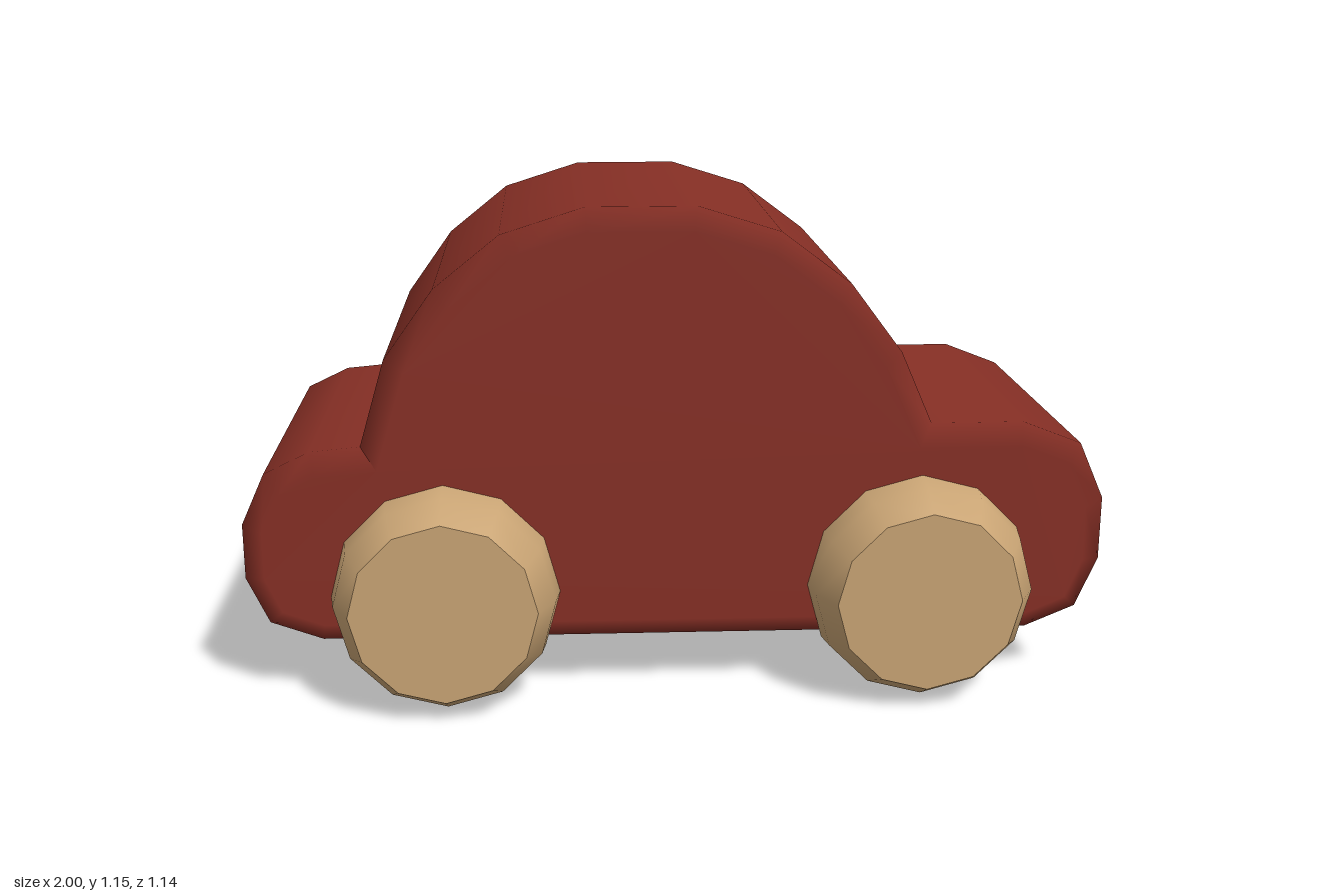
import * as THREE from 'three';

const paint = new THREE.MeshStandardMaterial({ color: 0x862f25 });
paint.name = 'red paint';
const wood = new THREE.MeshStandardMaterial({ color: 0xc9a474 });
wood.name = 'pale wood';

// Side outline of the car, counterclockwise
const outline = [
  [-0.83, 0.145], [0.83, 0.13], [0.95, 0.18], [1, 0.3], [1, 0.45], [0.94, 0.585],
  [0.8, 0.64], [0.585, 0.64], [0.51, 0.81], [0.39, 0.97], [0.23, 1.09], [0.04, 1.15],
  [-0.21, 1.15], [-0.4, 1.09], [-0.55, 0.97], [-0.665, 0.81], [-0.725, 0.61],
  [-0.84, 0.6], [-0.945, 0.55], [-1, 0.43], [-1, 0.3], [-0.95, 0.19],
].map(([x, y]) => new THREE.Vector2(x, y));
const SHARP = 16; // crease where the cabin meets the low end
const HALF = 0.435, BEVEL = 0.04, INSET = 0.05;

function mesh(name, geometry, material) {
  const m = new THREE.Mesh(geometry, material);
  m.name = name;
  return m;
}

function createBody() {
  const body = new THREE.Group();
  body.name = 'body';
  const n = outline.length;
  const edgeNormals = outline.map((p, i) => {
    const q = outline[(i + 1) % n];
    return new THREE.Vector2(q.y - p.y, p.x - q.x).normalize();
  });
  const normals = outline.map((p, i) =>
    edgeNormals[i].clone().add(edgeNormals[(i + n - 1) % n]).normalize());
  const inner = outline.map((p, i) =>
    p.clone().addScaledVector(normals[i], -INSET / normals[i].dot(edgeNormals[i])));

  // Wrap-around skin with a softened edge on each side
  const position = [], normal = [], index = [];
  for (let i = 0; i < n; i++) {
    const base = position.length / 3;
    for (const k of [i, (i + 1) % n]) {
      const m = k === SHARP ? edgeNormals[i] : normals[k];
      const o = outline[k], c = inner[k];
      position.push(c.x, c.y, -HALF, o.x, o.y, BEVEL - HALF, o.x, o.y, HALF - BEVEL, c.x, c.y, HALF);
      normal.push(0, 0, -1, m.x, m.y, 0, m.x, m.y, 0, 0, 0, 1);
    }
    for (let r = 0; r < 3; r++) {
      const a = base + r, b = a + 4;
      index.push(a, b, b + 1, a, b + 1, a + 1);
    }
  }
  const skin = new THREE.BufferGeometry();
  skin.setAttribute('position', new THREE.Float32BufferAttribute(position, 3));
  skin.setAttribute('normal', new THREE.Float32BufferAttribute(normal, 3));
  skin.setIndex(index);
  body.add(mesh('bodyShell', skin, paint));

  // Flat sides
  const front = new THREE.ShapeGeometry(new THREE.Shape(inner)).translate(0, 0, HALF);
  const back = new THREE.ShapeGeometry(new THREE.Shape(inner.map((p) => new THREE.Vector2(-p.x, p.y))))
    .rotateY(Math.PI).translate(0, 0, -HALF);
  body.add(mesh('frontSide', front, paint), mesh('backSide', back, paint));
  return body;
}

// Twelve-sided wheel with a rounded rim and flat discs, facing +z
function createWheel(x, side) {
  const wheel = new THREE.Group();
  wheel.name = 'wheel';
  const rim = [[0.262, 0], [0.252, 0.065], [0.212, 0.135]].map(([r, y]) => new THREE.Vector2(r, y));
  wheel.add(
    mesh('rim', new THREE.LatheGeometry(rim, 12).rotateX(Math.PI / 2), wood),
    mesh('outerDisc', new THREE.CircleGeometry(0.212, 12).translate(0, 0, 0.135), wood),
    mesh('innerDisc', new THREE.CircleGeometry(0.262, 12).rotateY(Math.PI), wood),
  );
  wheel.position.set(x, 0.265, side * HALF);
  if (side < 0) wheel.rotation.y = Math.PI;
  return wheel;
}

export function createModel() {
  const car = new THREE.Group();
  car.name = 'toyCar';
  car.add(createBody());
  for (const x of [-0.54, 0.56]) for (const side of [1, -1]) car.add(createWheel(x, side));
  return car;
}
